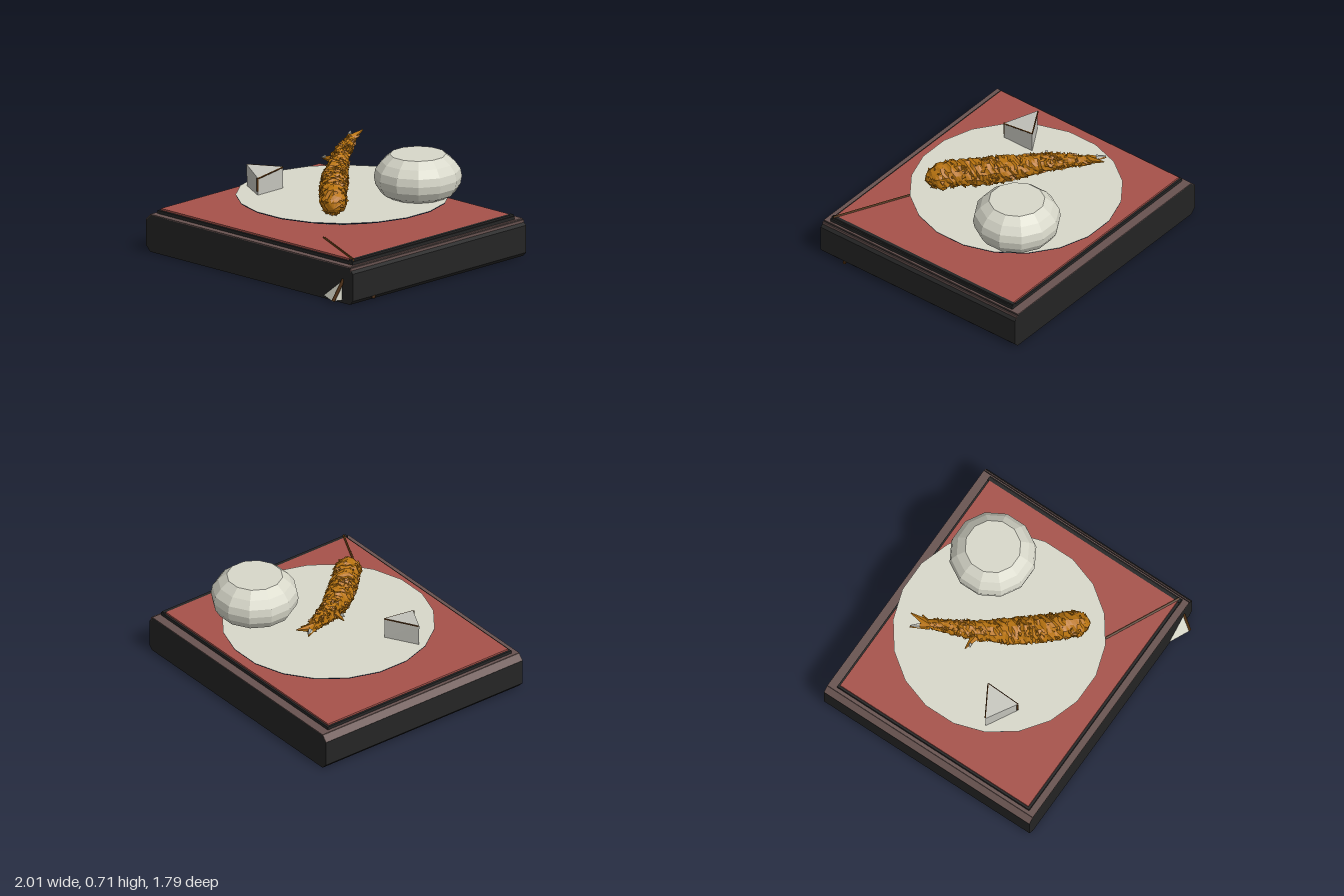
import * as THREE from 'three';
import { mergeGeometries } from 'three/addons/utils/BufferGeometryUtils.js';
import { ConvexGeometry } from 'three/addons/geometries/ConvexGeometry.js';

const mat = (name, color) => {
  const m = new THREE.MeshStandardMaterial({ color });
  m.name = name;
  return m;
};
const V = (x, y, z) => new THREE.Vector3(x, y, z);

// Faceted version of a geometry
function flat(geo) {
  const g = geo.index ? geo.toNonIndexed() : geo;
  g.deleteAttribute('uv');
  g.computeVertexNormals();
  return g;
}

function seeded(seed) {
  return () => {
    seed = (seed * 16807) % 2147483647;
    return seed / 2147483647;
  };
}

export function createModel() {
  const model = new THREE.Group();
  model.name = 'friedPrawnTray';

  const black = mat('black lacquer', 0x242424);
  const brown = mat('worn brown edge', 0x685350);
  const red = mat('red lacquer', 0xa6524a);
  const white = mat('porcelain', 0xd8d8ca);
  const blue = mat('blue rim', 0x24345c);
  const batter = mat('fried batter', 0xb97410);
  const darkWood = mat('dark brown', 0x51300f);
  const paleTip = mat('pale tip', 0xc4c4bc);

  const add = (name, geo, material) => {
    const mesh = new THREE.Mesh(geo, material);
    mesh.name = name;
    model.add(mesh);
    return mesh;
  };
  // Box given by its two opposite corners
  const slab = (name, x0, x1, y0, y1, z0, z1, material) => {
    const mesh = add(name, new THREE.BoxGeometry(x1 - x0, y1 - y0, z1 - z0), material);
    mesh.position.set((x0 + x1) / 2, (y0 + y1) / 2, (z0 + z1) / 2);
    return mesh;
  };
  // Thin rod between two points
  const rod = (name, a, b, r, material) => {
    const mesh = add(name, new THREE.CylinderGeometry(r, r, a.distanceTo(b), 4), material);
    mesh.position.copy(a).lerp(b, 0.5);
    mesh.quaternion.setFromUnitVectors(V(0, 1, 0), b.clone().sub(a).normalize());
    return mesh;
  };
  const lathe = (name, profile, sides, x, z, material) => {
    const pts = profile.map(([r, y]) => new THREE.Vector2(r, y));
    const mesh = add(name, flat(new THREE.LatheGeometry(pts, sides, Math.PI / sides)), material);
    mesh.position.set(x, 0, z);
    return mesh;
  };

  // Tray base: chamfered section run from back to front
  const section = new THREE.Shape([
    [-0.96, 0], [0.96, 0], [0.99, 0.03], [0.99, 0.225], [0.95, 0.265],
    [-0.96, 0.265], [-1, 0.225], [-1, 0.04],
  ].map(([x, y]) => new THREE.Vector2(x, y)));
  const base = new THREE.ExtrudeGeometry(section, { depth: 1.72, bevelEnabled: false });
  base.translate(0, 0, -0.9);
  add('trayBase', base, black);

  // Worn brown border on the top and along the left-hand chamfer
  slab('trayBorder', -0.96, 0.955, 0.262, 0.27, -0.9, 0.82, brown);
  const chamfer = slab('trayChamfer', -0.028, 0.028, -0.003, 0.003, -0.86, 0.86, brown);
  chamfer.position.set(-0.98, 0.245, -0.04);
  chamfer.rotation.z = Math.PI / 4;
  slab('trayRightEdge', 0.985, 0.993, 0.235, 0.262, -0.9, 0.82, brown).position.x = 0.967;

  // Raised tray top
  slab('innerFrame', -0.935, 0.94, 0.262, 0.293, -0.835, 0.772, black);
  slab('redTop', -0.92, 0.905, 0.28, 0.306, -0.82, 0.755, red);
  slab('rightFrame', 0.905, 0.93, 0.28, 0.306, -0.835, 0.772, black);

  // Plate: foot, flared underside, blue lip and flat top
  lathe('plate', [[0, 0.305], [0.4, 0.305], [0.58, 0.357], [0.7, 0.395]], 20, -0.01, -0.11, white);
  lathe('plateRim', [[0.7, 0.395], [0.738, 0.405], [0.74, 0.412]], 20, -0.01, -0.11, blue);
  lathe('plateTop', [[0.74, 0.412], [0, 0.414]], 20, -0.01, -0.11, white);

  // Rounded cup with a flat top
  lathe('cup', [
    [0, 0.414], [0.2, 0.414], [0.26, 0.445], [0.295, 0.5], [0.305, 0.555],
    [0.295, 0.61], [0.255, 0.665], [0.195, 0.715], [0, 0.715],
  ], 12, 0.395, -0.44, white);

  // Wedge garnish with a top sloping towards the front
  add('wedge', flat(new ConvexGeometry([
    V(-0.63, 0.413, 0.2), V(-0.41, 0.413, 0.07), V(-0.41, 0.413, 0.32),
    V(-0.635, 0.567, 0.2), V(-0.41, 0.567, 0.07), V(-0.41, 0.535, 0.32),
  ])), paleTip);
  rod('wedgeEdge', V(-0.415, 0.44, 0.318), V(-0.415, 0.535, 0.318), 0.009, darkWood);
  rod('wedgeTopEdge', V(-0.63, 0.563, 0.197), V(-0.41, 0.563, 0.07), 0.006, darkWood);
  rod('wedgeSideEdge', V(-0.41, 0.563, 0.07), V(-0.41, 0.531, 0.32), 0.006, darkWood);

  // Thin stick on the tray and the corner piece poking through the front
  rod('stick', V(0.4, 0.305, 0.5), V(0.93, 0.305, 0.755), 0.01, darkWood);
  rod('leaningStick', V(0.92, 0.3, 0.75), V(0.863, 0.02, 0.885), 0.012, darkWood);
  add('cornerPiece', flat(new ConvexGeometry([
    V(0.7, 0.02, 0.815), V(0.86, 0.02, 0.89), V(0.885, 0.165, 0.815), V(0.89, 0.02, 0.815),
  ])), white);
  rod('sideStub', V(0.95, 0.03, 0.63), V(0.997, 0.02, 0.605), 0.013, darkWood);

  // Prawn body: tapered tube roughened at each vertex
  const rand = seeded(77);
  const path = new THREE.CatmullRomCurve3([
    V(0.385, 0.48, 0.385), V(0.26, 0.52, 0.26), V(0.09, 0.53, 0.08), V(-0.09, 0.58, -0.14),
    V(-0.21, 0.63, -0.32), V(-0.33, 0.665, -0.54),
  ]);
  const radius = (t) => Math.min(1, Math.sqrt(t / 0.09)) * (t < 0.45 ? 0.093 : 0.093 - (t - 0.45) * 0.118);
  const rings = 56, sides = 16;
  const body = new THREE.TubeGeometry(path, rings, 1, sides);
  const pos = body.attributes.position;
  const p = V(0, 0, 0);
  for (let i = 0; i <= rings; i++) {
    const t = i / rings, c = path.getPointAt(t);
    const bumps = Array.from({ length: sides }, () => 0.86 + rand() * 0.26);
    for (let j = 0; j <= sides; j++) {
      const k = i * (sides + 1) + j;
      p.fromBufferAttribute(pos, k).sub(c);
      p.multiplyScalar(i === rings ? 0 : radius(t) * bumps[j % sides]).add(c);
      pos.setXYZ(k, p.x, p.y, p.z);
    }
  }
  const pieces = [flat(body)];
  // Loose crumbs scattered over the batter
  for (let i = 0; i < 320; i++) {
    const t = 0.03 + rand() * 0.9, c = path.getPointAt(t);
    const dir = V(rand() - 0.5, rand() - 0.5, rand() - 0.5);
    const along = path.getTangentAt(t);
    dir.addScaledVector(along, -dir.dot(along)).normalize();
    const crumb = flat(new THREE.TetrahedronGeometry(0.012 + rand() * 0.01));
    crumb.rotateX(rand() * 6).rotateY(rand() * 6);
    c.addScaledVector(dir, radius(t) * 0.98);
    pieces.push(crumb.translate(c.x, c.y, c.z));
  }
  add('prawnBody', mergeGeometries(pieces), batter);

  // Tail fins and a small leg, with pale tips
  const spike = (name, a, b, r, material) => {
    const geo = flat(new THREE.CylinderGeometry(0.004, r, a.distanceTo(b), 5));
    const mesh = add(name, geo, material);
    mesh.position.copy(a).lerp(b, 0.5);
    mesh.quaternion.setFromUnitVectors(V(0, 1, 0), b.clone().sub(a).normalize());
  };
  const tail = V(-0.315, 0.665, -0.49);
  spike('tailFin', tail, V(-0.325, 0.705, -0.635), 0.034, batter);
  spike('tailFin', tail, V(-0.405, 0.675, -0.59), 0.034, batter);
  spike('tailFin', tail, V(-0.285, 0.685, -0.565), 0.03, batter);
  spike('tailTip', V(-0.36, 0.68, -0.54), V(-0.4, 0.69, -0.59), 0.018, paleTip);
  spike('leg', V(-0.19, 0.61, -0.19), V(-0.3, 0.6, -0.2), 0.03, batter);
  spike('legTip', V(-0.25, 0.62, -0.185), V(-0.275, 0.61, -0.175), 0.014, paleTip);

  return model;
}
